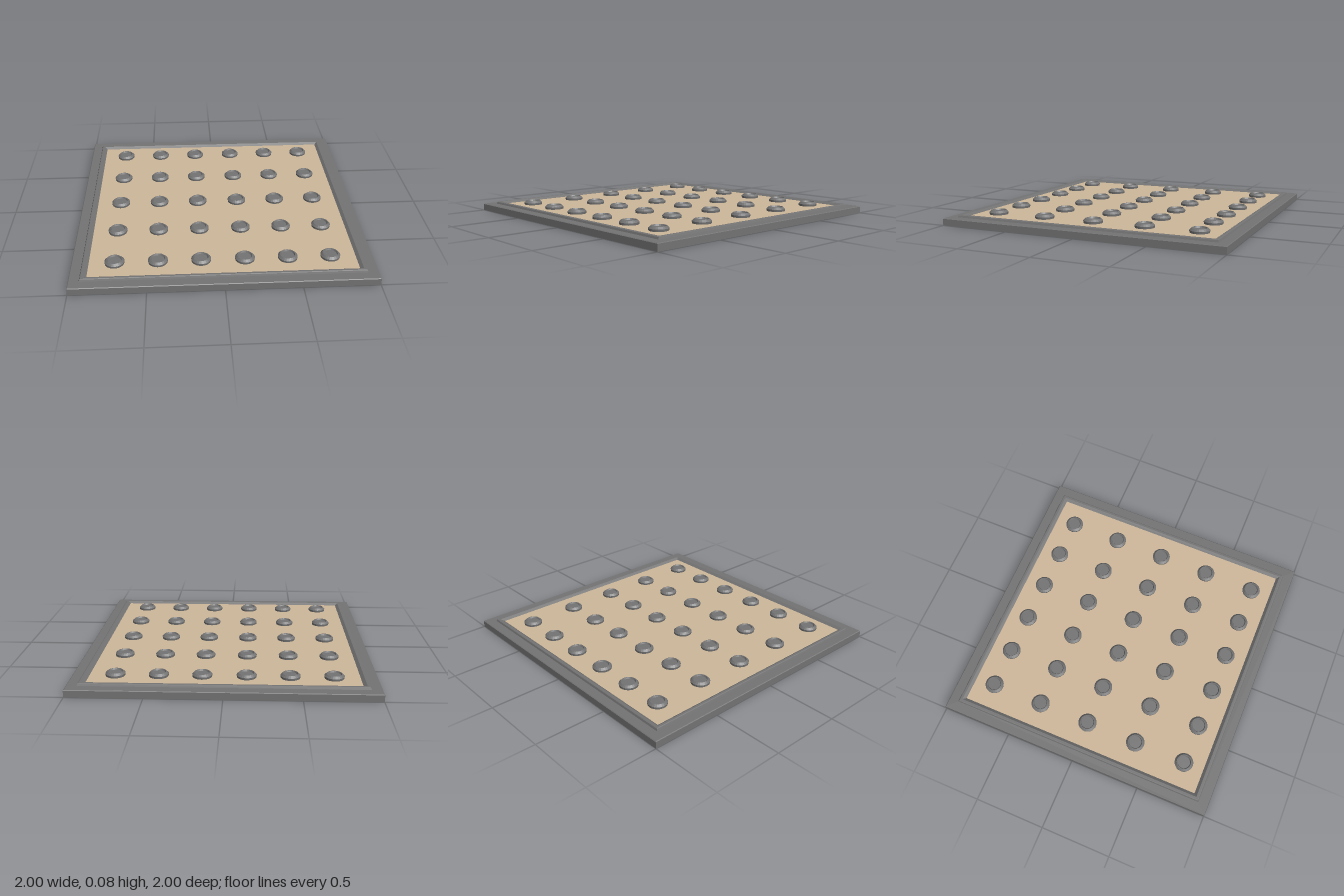
import * as THREE from 'three';

export function createModel() {
  const group = new THREE.Group();
  const metal = new THREE.MeshStandardMaterial({ color: 0x737373, side: THREE.DoubleSide });
  const sand = new THREE.MeshStandardMaterial({ color: 0xcdb799, side: THREE.DoubleSide });

  // Revolve a profile with hard edges between the faces
  const turn = (points, sides, start = 0) => {
    const profile = points.map(([r, y]) => new THREE.Vector2(r, y));
    const g = new THREE.LatheGeometry(profile, sides, start).toNonIndexed();
    g.computeVertexNormals();
    return g;
  };
  const add = (name, geometry, material) => {
    const mesh = new THREE.Mesh(geometry, material);
    mesh.name = name;
    group.add(mesh);
    return mesh;
  };

  // Stepped square frame: a four-sided hollow moulding
  const moulding = [
    [1, 0], [1, 0.046], [0.995, 0.05], [0.93, 0.05], [0.925, 0.063],
    [0.92, 0.066], [0.905, 0.066], [0.885, 0.051],
  ].map(([half, y]) => [half * Math.SQRT2, y]);
  add('frame', turn(moulding, 4, Math.PI / 4), metal);

  // Flat panel inside the frame
  const panel = add('panel', new THREE.PlaneGeometry(1.83, 1.83), sand);
  panel.rotation.x = -Math.PI / 2;
  panel.position.y = 0.051;

  // Grid of round studs, each with a raised lip and a sunken cap
  const stud = turn([
    [0, 0.048], [0.064, 0.048], [0.066, 0.066], [0.052, 0.08],
    [0.048, 0.08], [0.043, 0.07], [0, 0.07],
  ], 24);
  for (const z of [-0.74, -0.37, 0, 0.37, 0.74]) {
    for (const x of [-0.715, -0.43, -0.145, 0.145, 0.43, 0.715]) {
      add('stud', stud, metal).position.set(x, 0, z);
    }
  }
  return group;
}
